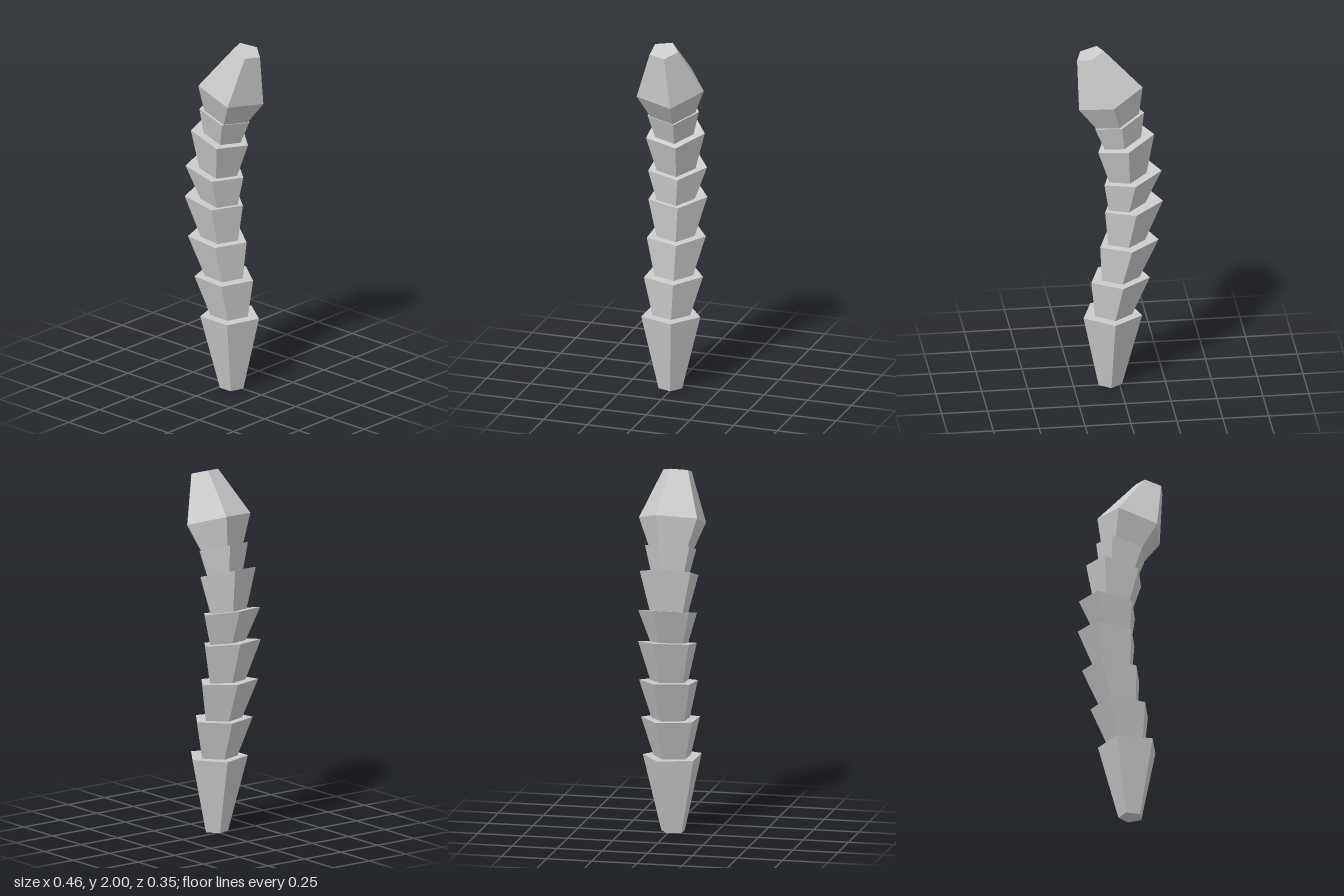
import * as THREE from 'three';

const SIDES = 5;
const CENTRE_Z = 0.018;

// Pentagon with its point to the back, tilted about z (degrees)
function ring([x, y, radius, tilt]) {
  const t = THREE.MathUtils.degToRad(tilt);
  return Array.from({ length: SIDES }, (_, k) => {
    const a = (k / SIDES) * Math.PI * 2;
    const across = radius * Math.sin(a);
    return new THREE.Vector3(
      x + across * Math.cos(t),
      y - across * Math.sin(t),
      CENTRE_Z - radius * Math.cos(a)
    );
  });
}

// Closed faceted solid through a stack of rings
function loft(sections) {
  const rings = sections.map(ring);
  const points = [];
  const bottom = rings[0];
  const top = rings[rings.length - 1];
  for (let k = 0; k < SIDES; k++) {
    const n = (k + 1) % SIDES;
    for (let i = 0; i + 1 < rings.length; i++) {
      const b = rings[i];
      const t = rings[i + 1];
      points.push(b[n], b[k], t[k], b[n], t[k], t[n]);
    }
    if (k > 0 && n > 0) {
      points.push(bottom[0], bottom[k], bottom[n]);
      points.push(top[0], top[n], top[k]);
    }
  }
  const geometry = new THREE.BufferGeometry().setFromPoints(points);
  geometry.computeVertexNormals();
  return geometry;
}

export function createModel() {
  const group = new THREE.Group();
  group.name = 'segmentedTrunk';
  const material = new THREE.MeshStandardMaterial({ color: 0xcccccc, flatShading: true });

  // Each section: x, y, radius, tilt
  const parts = {
    // Tapered base and flared segments
    trunkBase: [[0.05, 0, 0.067, 0], [0.04, 0.42, 0.168, 0]],
    trunkSegment1: [[0.033, 0.417, 0.106, 2.6], [-0.002, 0.637, 0.168, 2.6]],
    trunkSegment2: [[-0.005, 0.632, 0.108, 5.2], [-0.05, 0.854, 0.168, 5.2]],
    trunkSegment3: [[-0.038, 0.845, 0.106, 9.5], [-0.075, 1.073, 0.168, 9.5]],
    trunkSegment4: [[-0.04, 1.06, 0.106, 12.7], [-0.07, 1.245, 0.168, 12.7]],
    trunkSegment5: [[-0.048, 1.225, 0.106, 17.2], [-0.033, 1.453, 0.168, 17.2]],
    trunkSegment6: [[-0.018, 1.435, 0.106, 17.8], [0.002, 1.588, 0.147, 17.8]],
    // Bulging bud at the tip
    tipBud: [[0.01, 1.575, 0.125, 18.5], [0.052, 1.73, 0.192, 18.5], [0.158, 1.978, 0.081, 17]],
  };

  for (const [name, sections] of Object.entries(parts)) {
    const mesh = new THREE.Mesh(loft(sections), material);
    mesh.name = name;
    group.add(mesh);
  }
  return group;
}
